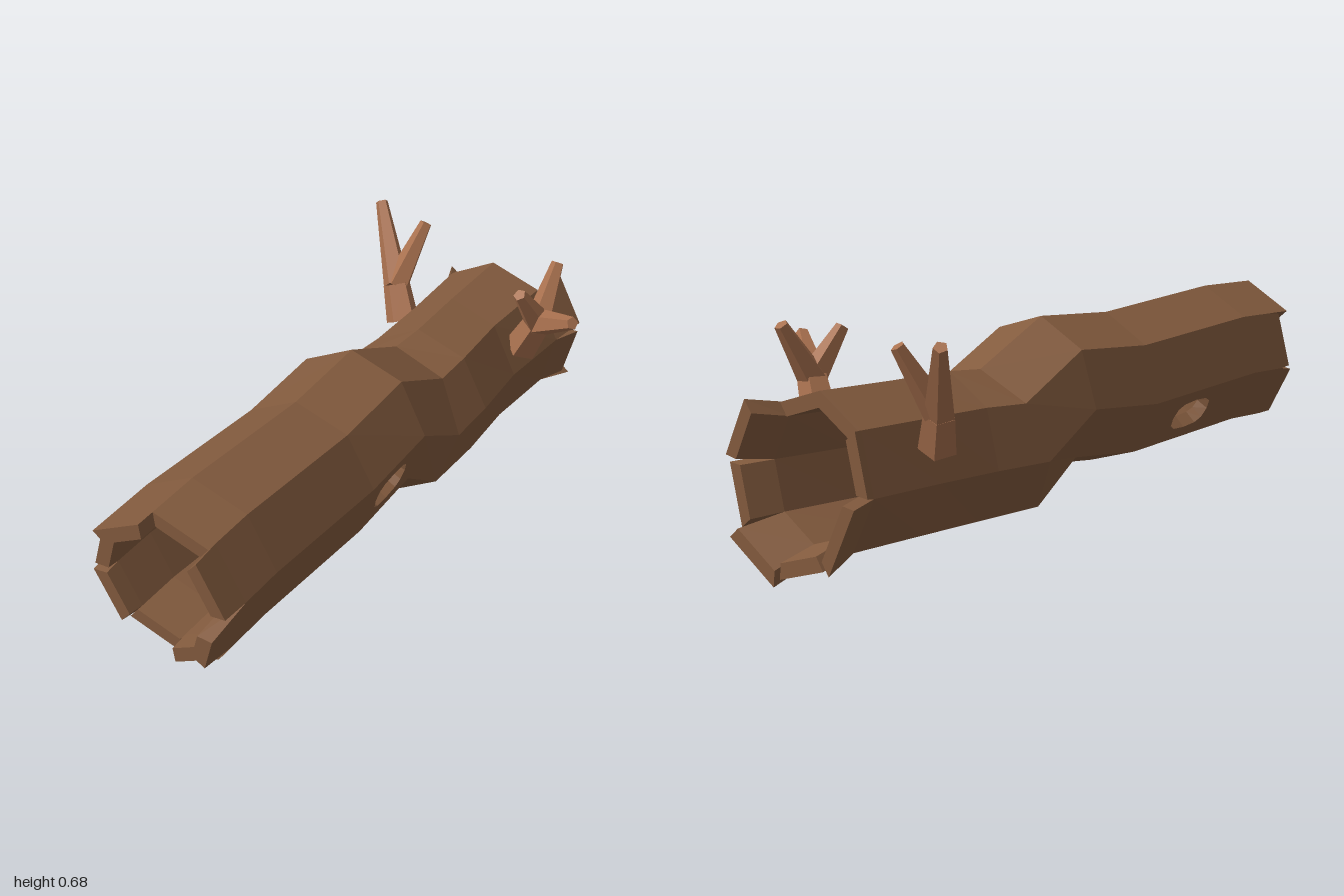
import * as THREE from 'three';

const SIDES = 8, WALL = 0.046;
// Rings from front to back: z, centre x, centre y, radius, x scale, lean (z shift per unit of height)
const RINGS = [
  [0.86, -0.01, 0.445, 0.235, 1, 0],
  [0.72, -0.01, 0.445, 0.235, 1, 0],
  [0.24, -0.01, 0.402, 0.233, 1, 0],
  [-0.035, -0.01, 0.418, 0.229, 1.02, -0.06],
  [-0.235, -0.01, 0.293, 0.224, 1.04, -0.29],
  [-0.41, 0, 0.29, 0.232, 0.95, 0],
  [-0.62, -0.005, 0.287, 0.233, 0.9, 0],
  [-0.87, 0, 0.285, 0.235, 0.95, 0],
];

// Point on a ring; k may be fractional, grow pushes outward
function ringPoint(i, k, grow = 0, z = null) {
  const [rz, cx, cy, r, sx, lean] = RINGS[i];
  const a = THREE.MathUtils.degToRad(97 - (k * 360) / SIDES);
  const y = (r + grow) * Math.sin(a);
  return new THREE.Vector3(cx + (r + grow) * sx * Math.cos(a), cy + y, (z ?? rz) + y * lean);
}

function quad(out, a, b, c, d) {
  for (const p of [a, b, c, a, c, d]) out.push(p.x, p.y, p.z);
}

function toMesh(out, material, name) {
  const geo = new THREE.BufferGeometry();
  geo.setAttribute('position', new THREE.Float32BufferAttribute(out, 3));
  geo.computeVertexNormals();
  const mesh = new THREE.Mesh(geo, material);
  mesh.name = name;
  return mesh;
}

// Point inside a four-cornered panel
function inPanel([a, b, c, d], s, t) {
  return a.clone().lerp(b, s).lerp(d.clone().lerp(c, s), t);
}

// Wall panel pierced by a rounded knot hole
function holedPanel(out, outer, inner, { t, ht, hs }) {
  const rim = [];
  for (let j = 0; j < 12; j++) {
    const a = (j / 12) * Math.PI * 2, c = Math.cos(a), s = Math.sin(a);
    const soft = (v) => Math.sign(v) * Math.pow(Math.abs(v), 0.7);
    rim.push(new THREE.Vector2(0.5 + hs * soft(s), t + ht * soft(c)));
  }
  const shape = new THREE.Shape([[0, 0], [1, 0], [1, 1], [0, 1]].map((p) => new THREE.Vector2(...p)));
  shape.holes.push(new THREE.Path(rim));
  const geo = new THREE.ShapeGeometry(shape).toNonIndexed();
  const pos = geo.attributes.position;
  for (let j = 0; j < pos.count; j += 3) {
    const tri = [0, 1, 2].map((n) => [pos.getX(j + n), pos.getY(j + n)]);
    for (const n of [0, 1, 2]) out.push(...inPanel(outer, ...tri[n]).toArray());
    for (const n of [2, 1, 0]) out.push(...inPanel(inner, ...tri[n]).toArray());
  }
  rim.forEach((p, j) => {
    const q = rim[(j + 1) % rim.length];
    quad(out, inPanel(outer, p.x, p.y), inPanel(outer, q.x, q.y), inPanel(inner, q.x, q.y), inPanel(inner, p.x, p.y));
  });
}

function makeTrunk(material) {
  const out = [];
  // keyed by ring and side
  const holes = { '2,2': { t: 0.47, ht: 0.29, hs: 0.29 }, '1,5': { t: 0.56, ht: 0.17, hs: 0.29 } };
  for (let i = 0; i < RINGS.length - 1; i++) {
    for (let k = 0; k < SIDES; k++) {
      const corners = (g) => [ringPoint(i, k, g), ringPoint(i, k + 1, g), ringPoint(i + 1, k + 1, g), ringPoint(i + 1, k, g)];
      const outer = corners(0), inner = corners(-WALL);
      const hole = holes[`${i},${k}`];
      if (hole) holedPanel(out, outer, inner, hole);
      else {
        quad(out, ...outer);
        quad(out, ...inner.reverse());
      }
    }
  }
  // end rims
  const last = RINGS.length - 1;
  for (let k = 0; k < SIDES; k++) {
    quad(out, ringPoint(0, k, -WALL), ringPoint(0, k + 1, -WALL), ringPoint(0, k + 1), ringPoint(0, k));
    quad(out, ringPoint(last, k), ringPoint(last, k + 1), ringPoint(last, k + 1, -WALL), ringPoint(last, k, -WALL));
  }
  return toMesh(out, material, 'hollowTrunk');
}

// Splintered slab continuing one side of the trunk past its end
function makeSplinter(material, ring, k, z, flare, taper) {
  const out = [];
  const base = [ringPoint(ring, k), ringPoint(ring, k + 1), ringPoint(ring, k + 1, -WALL), ringPoint(ring, k, -WALL)];
  const k0 = k + taper, k1 = k + 1 - taper;
  const tip = [ringPoint(ring, k0, flare, z), ringPoint(ring, k1, flare, z),
    ringPoint(ring, k1, flare - WALL, z), ringPoint(ring, k0, flare - WALL, z)];
  const [f, b] = ring === 0 ? [tip, base] : [base, tip];
  for (let j = 0; j < 4; j++) {
    const n = (j + 1) % 4;
    quad(out, f[j], f[n], b[n], b[j]);
  }
  quad(out, f[3], f[2], f[1], f[0]);
  quad(out, ...b);
  return toMesh(out, material, ring === 0 ? 'frontSplinter' : 'backSplinter');
}

// Tapered limb between two points
function makeLimb(material, from, to, r0, r1, name) {
  const a = new THREE.Vector3(...from), b = new THREE.Vector3(...to);
  const dir = b.clone().sub(a);
  const mesh = new THREE.Mesh(new THREE.CylinderGeometry(r1, r0, dir.length(), 5), material);
  mesh.position.copy(a).add(b).multiplyScalar(0.5);
  mesh.quaternion.setFromUnitVectors(new THREE.Vector3(0, 1, 0), dir.normalize());
  mesh.name = name;
  return mesh;
}

function makeBranch(material, name, root, fork, tips) {
  const group = new THREE.Group();
  group.name = name;
  group.add(makeLimb(material, root, fork, 0.055, 0.045, 'branchStem'));
  for (const tip of tips) group.add(makeLimb(material, fork, tip, 0.044, 0.02, 'branchTwig'));
  return group;
}

export function createModel() {
  const model = new THREE.Group();
  model.name = 'hollowLog';
  const bark = new THREE.MeshStandardMaterial({ color: 0x835b3e, flatShading: true, side: THREE.DoubleSide });
  const wood = new THREE.MeshStandardMaterial({ color: 0xa9714f, flatShading: true });

  model.add(makeTrunk(bark));

  // Splinters per side: end z, flare, taper
  const front = [[0.89, 0, 0], [0.95, 0, 0.03], [1, -0.01, 0.2], [0.92, 0, 0.03], [0.88, 0, 0], [0.91, 0, 0.04], [0.9, 0, 0.03], [0.95, 0, 0]];
  const back = [[-0.88, 0, 0], [-0.98, 0.03, 0.05], [-0.965, 0.03, 0.06], [-1, 0.05, 0], [-0.985, 0.03, 0.03], [-0.98, 0.05, 0], [-0.91, 0.02, 0.05], [-0.88, 0, 0]];
  front.forEach((s, k) => model.add(makeSplinter(bark, 0, k, ...s)));
  back.forEach((s, k) => model.add(makeSplinter(bark, RINGS.length - 1, k, ...s)));

  // Forked branches on both flanks near the back
  model.add(makeBranch(wood, 'leftBranch', [0.19, 0.38, -0.69], [0.25, 0.5, -0.67],
    [[0.41, 0.605, -0.575], [0.25, 0.66, -0.78], [0.225, 0.64, -0.58]]));
  model.add(makeBranch(wood, 'rightBranch', [-0.22, 0.36, -0.64], [-0.27, 0.46, -0.68],
    [[-0.41, 0.66, -0.81], [-0.23, 0.645, -0.79]]));
  return model;
}
